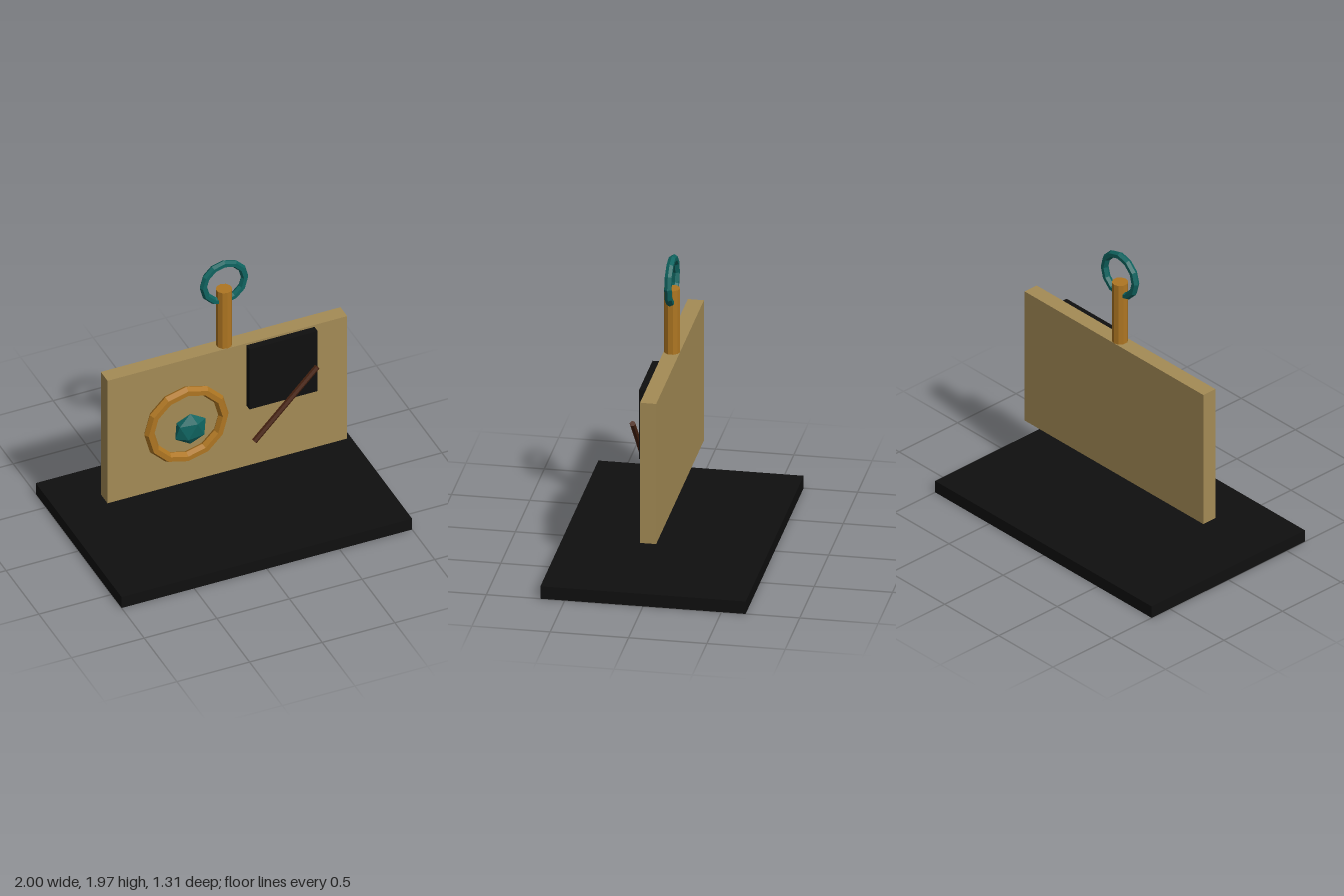
import * as THREE from 'three';

const material = (name, color) => {
  const m = new THREE.MeshStandardMaterial({ color, flatShading: true });
  m.name = name;
  return m;
};

export function createModel() {
  const black = material('black', 0x0f0f0f);
  const tan = material('tan', 0xa48b55);
  const gold = material('gold', 0xae7622);
  const teal = material('teal', 0x0f6460);
  const brown = material('brown', 0x4a2412);

  const model = new THREE.Group();
  model.name = 'signStand';

  const add = (name, geometry, mat, x, y, z, turn = 0) => {
    const mesh = new THREE.Mesh(geometry, mat);
    mesh.name = name;
    mesh.position.set(x, y, z);
    mesh.rotation.z = turn;
    model.add(mesh);
    return mesh;
  };

  // Base slab and the board floating above it
  add('base', new THREE.BoxGeometry(2, 0.085, 1.31), black, 0, 0.0425, 0);
  add('board', new THREE.BoxGeometry(1.65, 0.96, 0.103), tan, 0, 0.835, 0);

  // Post on the board's top edge, with a ring at its head
  add('post', new THREE.CylinderGeometry(0.052, 0.052, 0.435, 10), gold, 0, 1.5325, 0);
  add('topRing', new THREE.TorusGeometry(0.142, 0.025, 6, 12), teal, 0, 1.802, 0);

  // Dial: faceted ring with a flattened gem in the middle
  add('dialRing', new THREE.TorusGeometry(0.255, 0.035, 6, 12), gold, -0.295, 0.835, 0.08);
  const gem = new THREE.IcosahedronGeometry(0.117, 0);
  add('gem', gem, teal, -0.295, 0.838, 0.142, -0.553).scale.z = 0.42;

  // Dark plate and the slanted rod in front of it
  add('plate', new THREE.BoxGeometry(0.47, 0.47, 0.05), black, 0.365, 1.065, 0.075);
  add('rod', new THREE.CylinderGeometry(0.019, 0.019, 0.622, 6), brown, 0.36, 0.833, 0.145, -0.765);

  return model;
}
